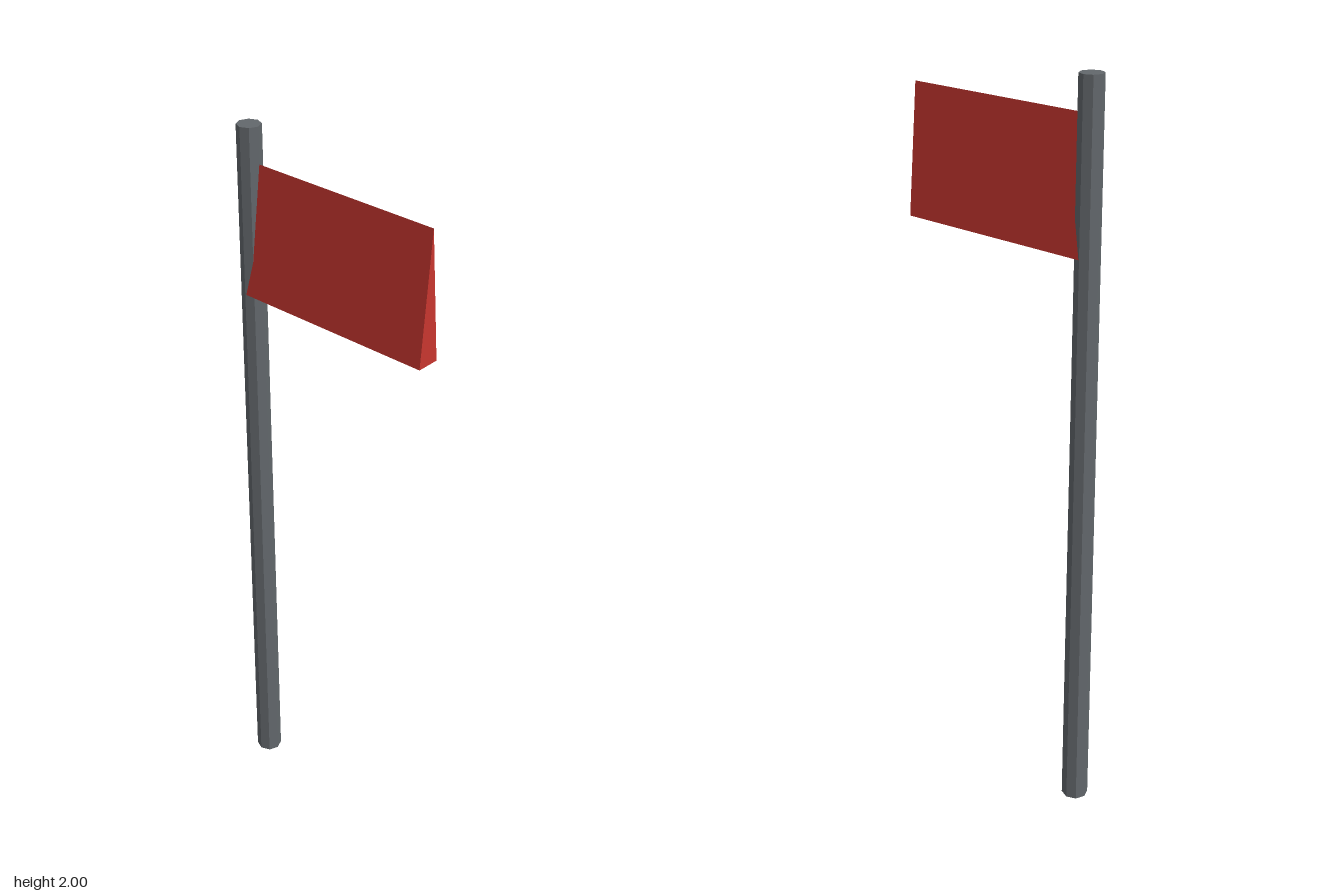
import * as THREE from 'three';

export function createModel() {
  const model = new THREE.Group();
  const poleZ = -0.264;

  const add = (name, geometry, color) => {
    const material = new THREE.MeshStandardMaterial({ color, flatShading: true });
    const mesh = new THREE.Mesh(geometry, material);
    mesh.name = name;
    mesh.position.z = poleZ;
    model.add(mesh);
    return mesh;
  };

  // Slightly tapered eight-sided pole
  const pole = add('pole', new THREE.CylinderGeometry(0.031, 0.036, 2, 8), 0x63686c);
  pole.position.y = 1;

  // Wedge-shaped flag: a narrow triangle extruded forward from the pole's axis
  const wedge = new THREE.Shape([
    new THREE.Vector2(-0.031, 1.565),
    new THREE.Vector2(0.031, 1.565),
    new THREE.Vector2(0, 1.907),
  ]);
  add('flag', new THREE.ExtrudeGeometry(wedge, { depth: 0.3 - poleZ, bevelEnabled: false }), 0xc8362f);

  return model;
}
